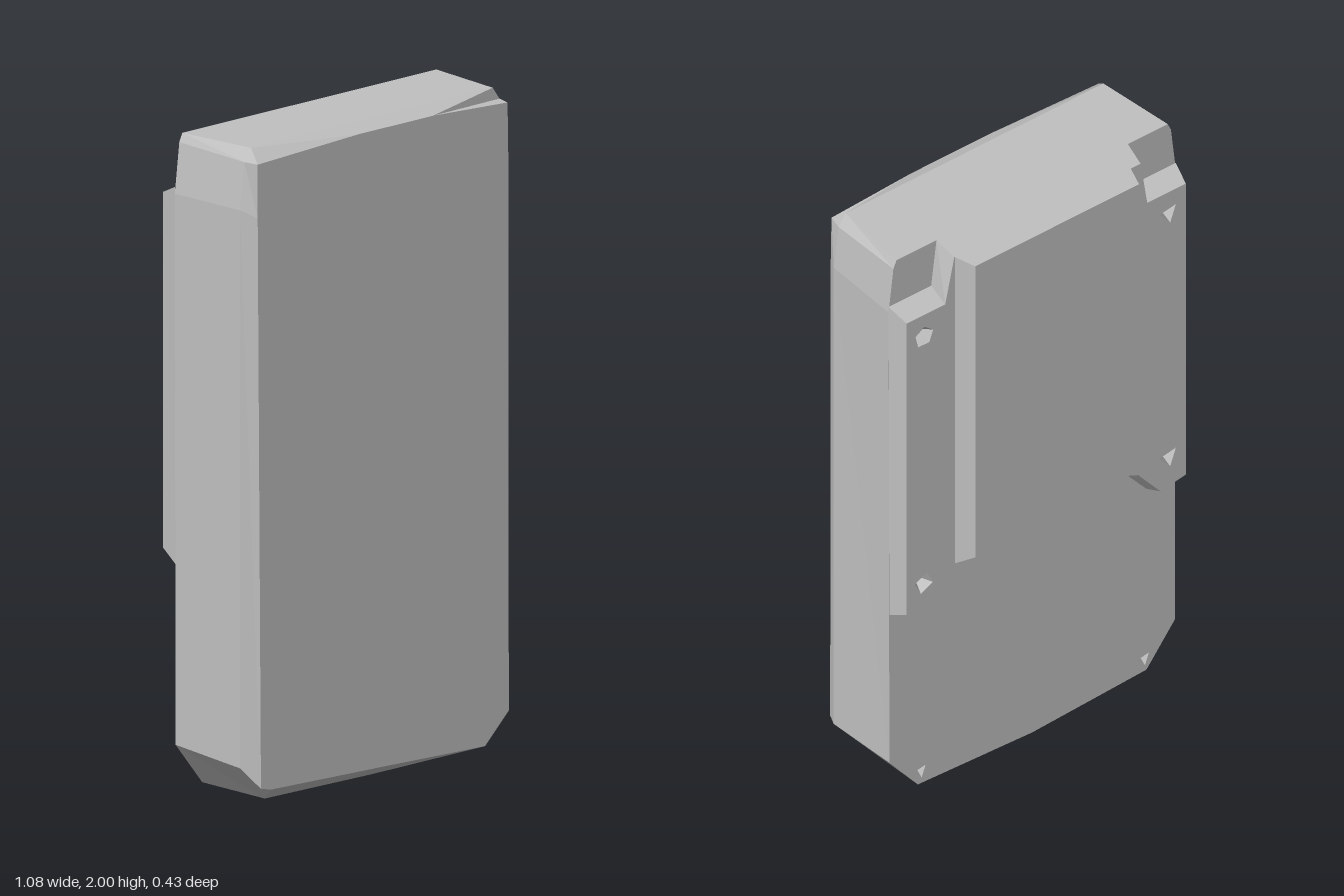
import * as THREE from 'three';

// Flat-faced loft through outlines (counter-clockwise seen from +z), listed front to back.
// pits: [x, y, radius, sides] small pointed holes sunk into the rear cap.
function loft(rings, frontCap, pits = [], depth = 0.05) {
  const pos = [];
  const tri = (...pts) => pts.forEach((p) => pos.push(p[0], p[1], p[2]));
  const points = rings.map(({ z, outline }) => outline.map(([x, y]) => [x, y, z]));

  // walls
  for (let r = 0; r + 1 < points.length; r++) {
    const n = points[r].length;
    for (let i = 0; i < n; i++) {
      const j = (i + 1) % n;
      const a = points[r][i], b = points[r][j], c = points[r + 1][j], d = points[r + 1][i];
      tri(a, d, b);
      tri(b, d, c);
    }
  }

  // caps
  const cap = (outline, holes, facing) => {
    const v2 = (list) => list.map((p) => new THREE.Vector2(p[0], p[1]));
    const all = [outline, ...holes].flat();
    for (const [i, j, k] of THREE.ShapeUtils.triangulateShape(v2(outline), holes.map(v2))) {
      const a = all[i], b = all[j], c = all[k];
      const area = (b[0] - a[0]) * (c[1] - a[1]) - (b[1] - a[1]) * (c[0] - a[0]);
      if (area * facing > 0) tri(a, b, c);
      else tri(a, c, b);
    }
  };
  const rear = points[points.length - 1];
  const zr = rear[0][2];
  const holes = pits.map(([x, y, r, sides]) => Array.from({ length: sides }, (_, i) => {
    const t = (i / sides) * Math.PI * 2 + 0.35;
    return [x + r * Math.cos(t), y + r * Math.sin(t), zr];
  }));
  if (frontCap) cap(points[0], [], 1);
  cap(rear, holes, -1);
  holes.forEach((h, k) => h.forEach((p, i) => {
    tri(h[(i + 1) % h.length], p, [pits[k][0], pits[k][1], zr + depth]);
  }));

  const geo = new THREE.BufferGeometry();
  geo.setAttribute('position', new THREE.Float32BufferAttribute(pos, 3));
  geo.computeVertexNormals();
  return geo;
}

export function createModel() {
  const group = new THREE.Group();
  const casing = new THREE.MeshStandardMaterial({ color: 0xc0c0c0 });
  casing.name = 'grey casing';
  const add = (name, geo) => {
    const mesh = new THREE.Mesh(geo, casing);
    mesh.name = name;
    group.add(mesh);
  };

  // main body: bevelled front face, full outline, straight back
  add('body', loft([
    { z: 0.212, outline: [[-0.45, 0.065], [0, 0.05], [0.41, 0.035], [0.505, 0.125], [0.503, 1.8],
      [0.5, 1.962], [0.2, 1.978], [-0.1, 1.978], [-0.503, 1.962], [-0.503, 1.8], [-0.49, 0.075]] },
    { z: 0.165, outline: [[-0.43, 0.025], [0, 0.018], [0.425, 0.022], [0.53, 0.135], [0.53, 1.82],
      [0.512, 1.962], [0.485, 2], [-0.485, 2], [-0.512, 1.962], [-0.53, 1.82], [-0.53, 0.135]] },
    { z: -0.1, outline: [[-0.43, 0.022], [0, 0.002], [0.43, 0.022], [0.537, 0.155], [0.54, 1.82],
      [0.522, 1.972], [0.51, 1.998], [-0.51, 1.998], [-0.522, 1.972], [-0.54, 1.82], [-0.537, 0.155]] },
  ], true, [[-0.42, 0.065, 0.025, 3], [0.42, 0.065, 0.025, 3]], 0.02));

  // back plate: side rails with screw pits, notched top corners, arched lower edge
  add('backPlate', loft([
    { z: -0.1, outline: [[-0.537, 0.7], [-0.43, 0.69], [-0.32, 0.82], [-0.1, 0.93], [0.32, 0.82],
      [0.43, 0.69], [0.537, 0.7], [0.54, 1.84], [0.38, 1.84], [0.36, 1.998],
      [-0.36, 1.998], [-0.38, 1.84], [-0.54, 1.84]] },
    { z: -0.165, outline: [[-0.525, 0.735], [-0.43, 0.72], [-0.33, 0.84], [-0.1, 0.945], [0.345, 0.835],
      [0.43, 0.72], [0.525, 0.735], [0.525, 1.81], [0.38, 1.81], [0.346, 1.967],
      [-0.355, 1.967], [-0.38, 1.81], [-0.525, 1.81]] },
  ], false, [[-0.46, 1.73, 0.036, 3], [-0.46, 0.83, 0.036, 3], [0.46, 1.73, 0.036, 5], [0.46, 0.82, 0.036, 4]]));

  // raised centre panel on the back
  add('centrePanel', loft([
    { z: -0.164, outline: [[-0.318, 0.84], [-0.1, 0.945], [0.345, 0.835], [0.345, 1.968], [-0.318, 1.968]] },
    { z: -0.215, outline: [[-0.308, 0.87], [-0.1, 0.96], [0.308, 0.87], [0.308, 1.945], [-0.308, 1.945]] },
  ], false));

  return group;
}
